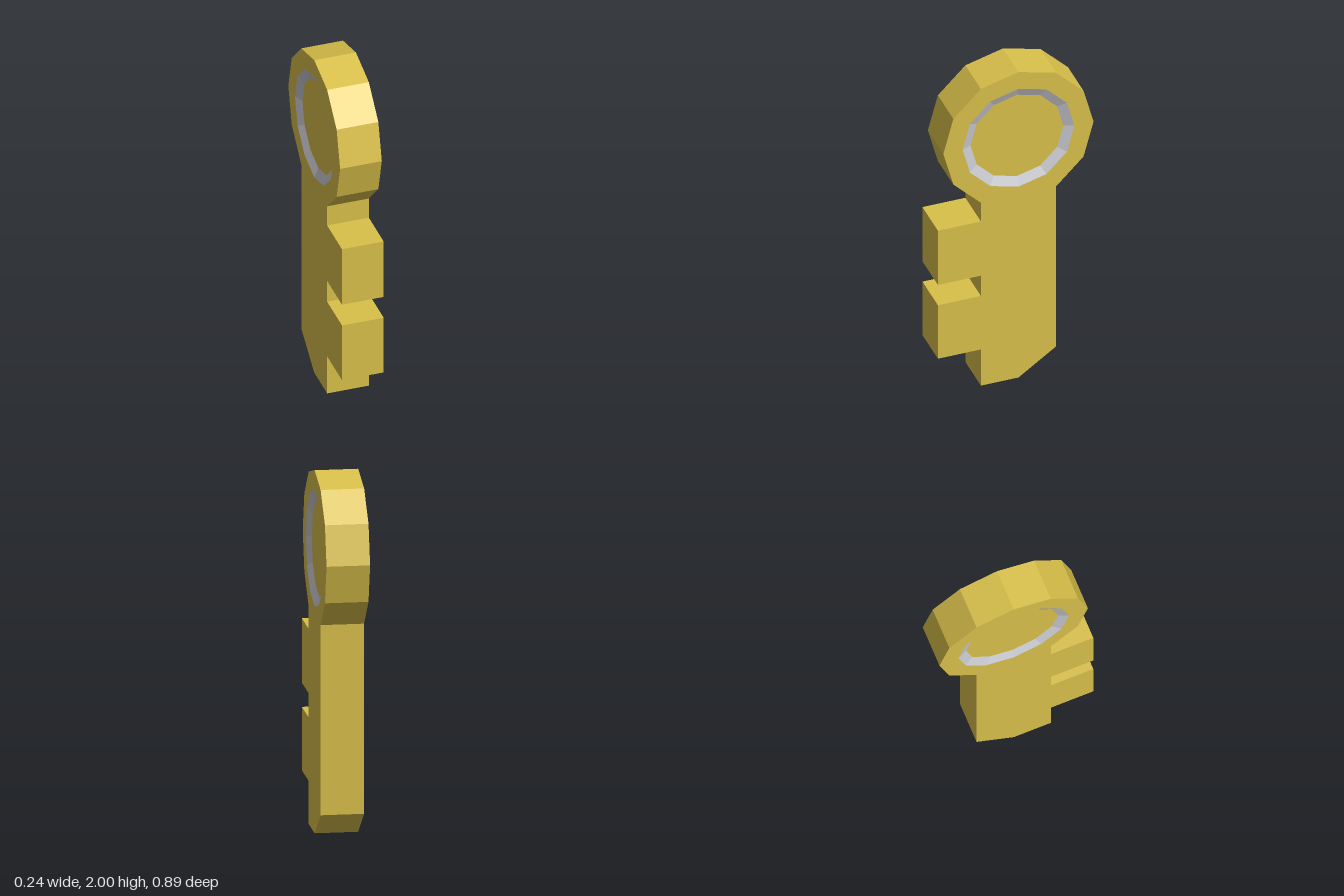
import * as THREE from 'three';

const HALF = 0.118;              // half thickness along x
const CY = 1.57, CZ = -0.015;    // centre of the round head
const R = 0.43, RIM = 0.32, FLOOR = 0.266, DEPTH = 0.024;

const gold = new THREE.MeshStandardMaterial({ color: 0xd9c04a, flatShading: true });
const silver = new THREE.MeshStandardMaterial({ color: 0xc8c8d0, flatShading: true });

// Corner of a 12-sided polygon around the head centre, as (-z, y)
const corner = (r, i) => {
  const a = i * Math.PI / 6;
  return new THREE.Vector2(-CZ + r * Math.cos(a), CY + r * Math.sin(a));
};

function named(name, geometry, material) {
  const mesh = new THREE.Mesh(geometry, material);
  mesh.name = name;
  return mesh;
}

// Head, shaft and teeth as one outline
function keyBody() {
  const front = -0.20, tooth = -0.446;
  const pts = [];
  for (let i = -2; i <= 8; i++) pts.push(corner(R, i));
  for (const [top, bottom] of [[1.075, 0.72], [0.587, 0.237]]) {
    for (const [u, y] of [[front, top], [tooth, top], [tooth, bottom], [front, bottom]]) {
      pts.push(new THREE.Vector2(u, y));
    }
  }
  pts.push(new THREE.Vector2(front, 0), new THREE.Vector2(-CZ, 0), new THREE.Vector2(0.23, 0.15));

  const shape = new THREE.Shape(pts);
  const hole = [];
  for (let i = 0; i < 12; i++) hole.push(corner(RIM, -i));
  shape.holes.push(new THREE.Path(hole));
  const geo = new THREE.ExtrudeGeometry(shape, { depth: 2 * HALF, bevelEnabled: false });
  return geo.translate(0, 0, -HALF).rotateY(Math.PI / 2);
}

// Turned 12-sided surface facing outward on one side of the head
function turned(profile, side) {
  const geo = new THREE.LatheGeometry(profile.map(([r, h]) => new THREE.Vector2(r, h)), 12);
  return geo.rotateZ(-side * Math.PI / 2).translate(side * HALF, CY, CZ);
}

export function createModel() {
  const key = new THREE.Group();
  key.name = 'key';
  key.add(named('keyBody', keyBody(), gold));

  // Shallow recess with a sloped silver rim on each face
  for (const [side, label] of [[1, 'left'], [-1, 'right']]) {
    key.add(named(label + 'Rim', turned([[RIM, 0], [FLOOR, -DEPTH]], side), silver));
    key.add(named(label + 'Inset', turned([[FLOOR, -DEPTH], [0, -DEPTH]], side), gold));
  }
  return key;
}
